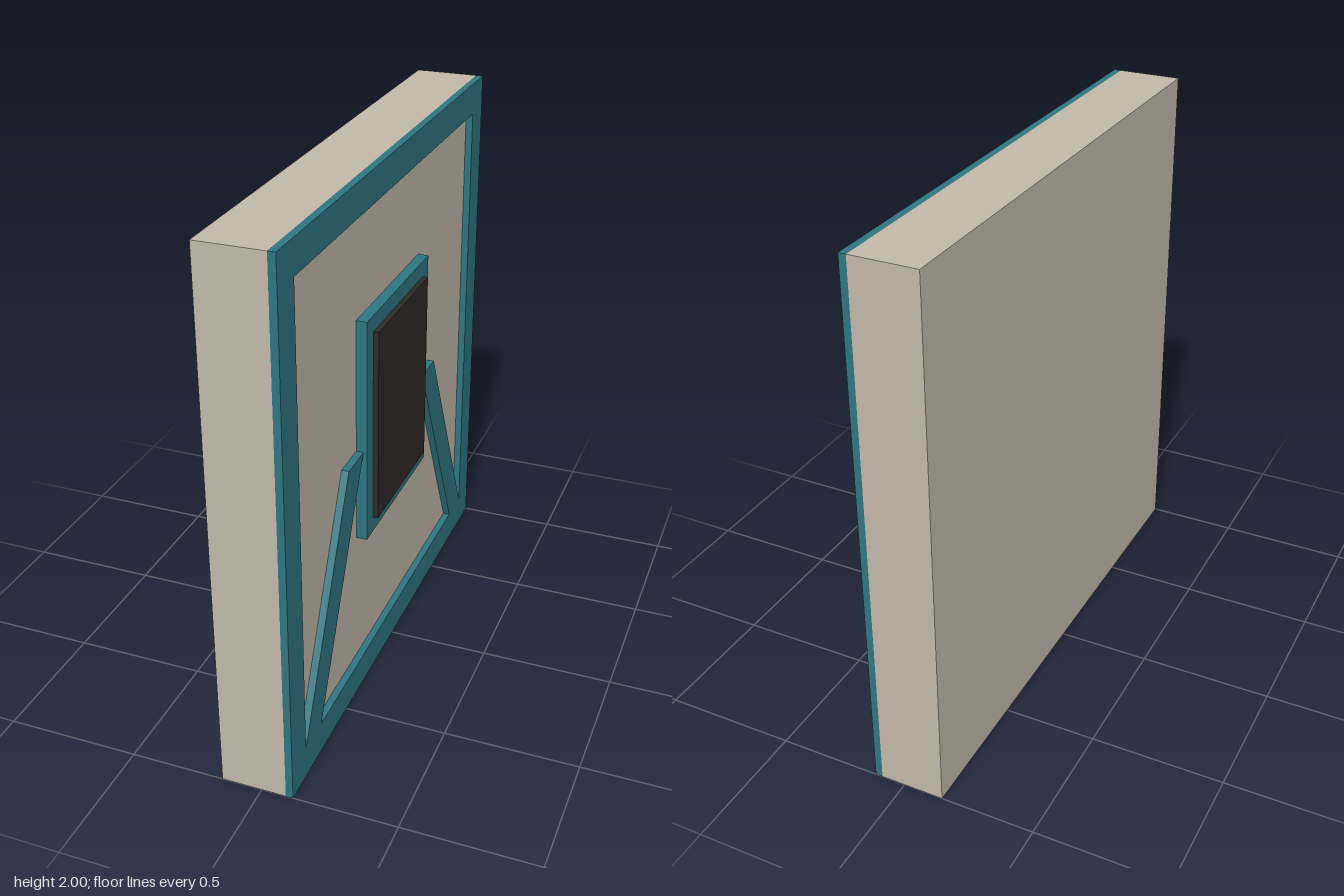
import * as THREE from 'three';

const BACK = -0.15, FACE = 0.09, TRIM = 0.117, SURROUND = 0.13, PANE = 0.15;

export function createModel() {
  const group = new THREE.Group();
  const plaster = new THREE.MeshStandardMaterial({ color: 0xc3b9aa });
  const timber = new THREE.MeshStandardMaterial({ color: 0x2e7682 });
  const dark = new THREE.MeshStandardMaterial({ color: 0x2f2a28 });

  const rect = (halfWidth, y0, y1) => [
    [-halfWidth, y0], [halfWidth, y0], [halfWidth, y1], [-halfWidth, y1],
  ].map(([u, v]) => new THREE.Vector2(u, v));

  // Extrudes an outline drawn across the wall face between two depths along x
  function layer(name, outline, x0, x1, material, hole) {
    const shape = new THREE.Shape(outline);
    if (hole) shape.holes.push(new THREE.Path(hole));
    const geometry = new THREE.ExtrudeGeometry(shape, { depth: x1 - x0, bevelEnabled: false });
    geometry.rotateY(Math.PI / 2).translate(x0, 0, 0);
    const mesh = new THREE.Mesh(geometry, material);
    mesh.name = name;
    group.add(mesh);
  }

  // Wall slab and its border trim
  layer('wallSlab', rect(1, 0, 2), BACK, FACE, plaster);
  layer('borderTrim', rect(1, 0, 2), FACE, TRIM, timber, rect(0.88, 0.12, 1.88));

  // Slanted braces, mirrored about the window
  for (const [name, s] of [['frontBrace', -1], ['backBrace', 1]]) {
    const outline = [[0.74, 0.12], [0.88, 0.12], [0.46, 1], [0.32, 1]]
      .map(([u, v]) => new THREE.Vector2(s * u, v));
    layer(name, outline, FACE, TRIM, timber);
  }

  // Window surround and raised pane
  layer('windowSurround', rect(0.32, 0.64, 1.5), FACE, SURROUND, timber, rect(0.26, 0.7, 1.44));
  layer('windowPane', rect(0.26, 0.7, 1.44), FACE, PANE, dark);

  return group;
}
